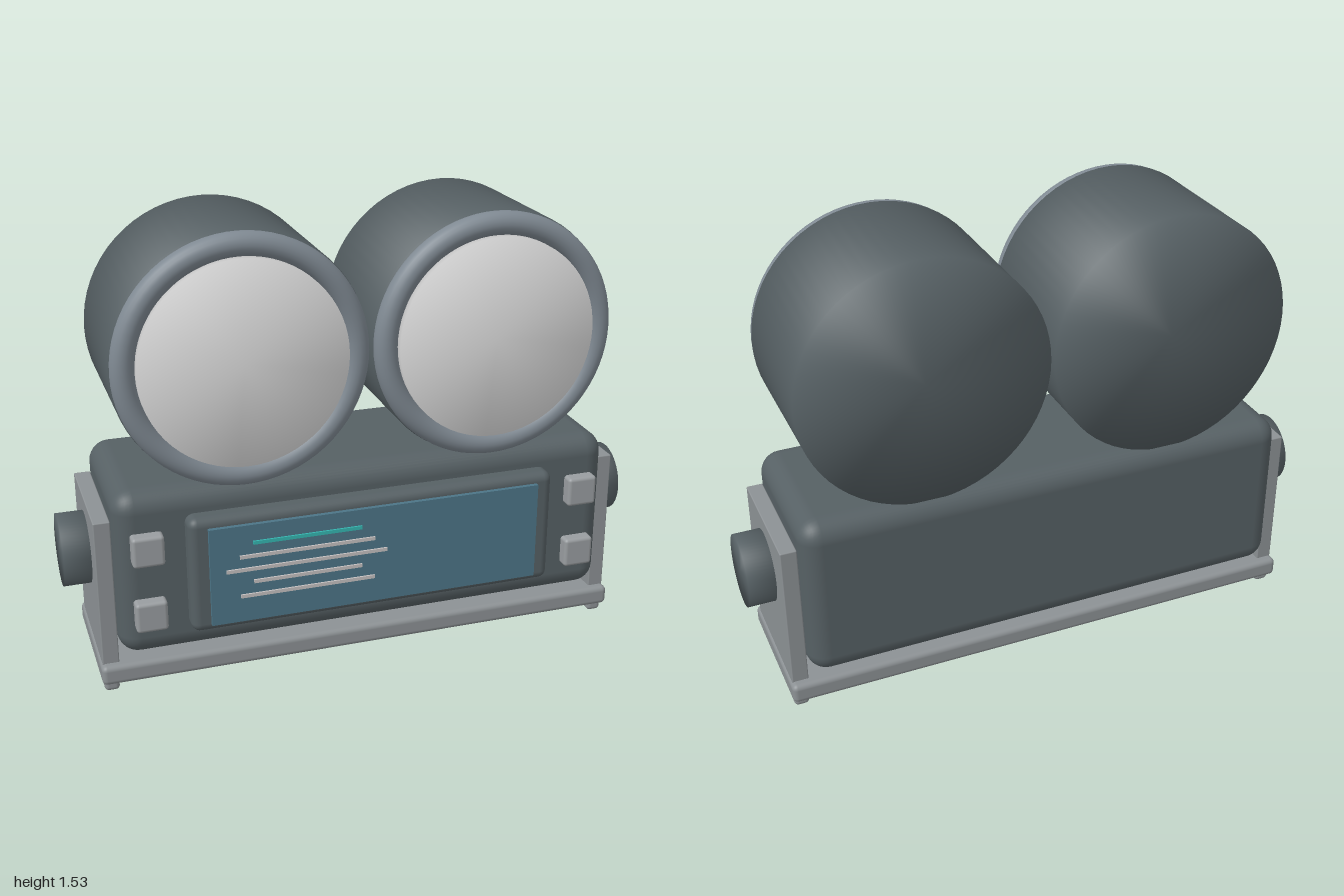
import * as THREE from 'three';
import { mergeVertices } from 'three/addons/utils/BufferGeometryUtils.js';
import { RoundedBoxGeometry } from 'three/addons/geometries/RoundedBoxGeometry.js';

function material(name, color) {
  const m = new THREE.MeshStandardMaterial({ color });
  m.name = name;
  return m;
}

// Cylinder whose side and caps share soft normals
function softCylinder(radius, length) {
  const g = new THREE.CylinderGeometry(radius, radius, length, 64);
  g.deleteAttribute('normal');
  g.deleteAttribute('uv');
  const merged = mergeVertices(g, 1e-4);
  merged.computeVertexNormals();
  return merged;
}

export function createModel() {
  const group = new THREE.Group();
  const dark = material('dark casing', 0x566064);
  const metal = material('bracket grey', 0x8c9194);
  const trim = material('ring steel', 0x7f8992);
  const button = material('button grey', 0x999da0);
  const lensWhite = material('lens white', 0xdedede);
  const screenBlue = material('screen blue', 0x4c7587);
  const teal = material('teal line', 0x35b5b0);
  const pale = material('pale line', 0xc4c0c0);

  function add(name, geometry, mat, x, y, z) {
    const mesh = new THREE.Mesh(geometry, mat);
    mesh.name = name;
    mesh.position.set(x, y, z);
    group.add(mesh);
    return mesh;
  }

  // Block given by its extents, rounded when r > 0
  function block(name, mat, [x0, x1], [y0, y1], [z0, z1], r = 0) {
    const size = [x1 - x0, y1 - y0, z1 - z0];
    const g = r ? new RoundedBoxGeometry(...size, 4, r) : new THREE.BoxGeometry(...size);
    return add(name, g, mat, (x0 + x1) / 2, (y0 + y1) / 2, (z0 + z1) / 2);
  }

  // Casing and display
  block('body', dark, [-0.855, 0.855], [0.143, 0.72], [-0.312, 0.238], 0.07);
  block('bezel', dark, [-0.628, 0.628], [0.232, 0.635], [0.2, 0.298], 0.03);
  block('screen', screenBlue, [-0.567, 0.567], [0.262, 0.603], [0.25, 0.313]);

  // Text-like bars on the display: y, left end, right end
  const bars = [
    [0.541, -0.425, -0.06], [0.495, -0.47, -0.015], [0.449, -0.515, 0.028],
    [0.403, -0.425, -0.06], [0.355, -0.47, -0.015],
  ];
  bars.forEach(([y, x0, x1], i) =>
    block('displayLine', i ? pale : teal, [x0, x1], [y - 0.006, y + 0.006], [0.311, 0.319]));

  // Base tray
  block('baseBar', metal, [-0.917, 0.917], [0.036, 0.105], [-0.282, 0.207], 0.018);

  for (const s of [-1, 1]) {
    // Lamp drum, rim ring and lens
    const drum = add('drum', softCylinder(0.415, 0.484), dark, s * 0.421, 1.12, -0.037);
    drum.rotation.x = Math.PI / 2;
    add('rimRing', new THREE.TorusGeometry(0.373, 0.039, 20, 72), trim, s * 0.421, 1.12, 0.222);
    const lens = add('lens', softCylinder(0.337, 0.1), lensWhite, s * 0.421, 1.12, 0.212);
    lens.rotation.x = Math.PI / 2;

    // Buttons beside the display
    for (const y of [0.537, 0.305]) {
      add('button', new RoundedBoxGeometry(0.104, 0.104, 0.07, 3, 0.012), button, s * 0.753, y, 0.244);
    }

    // Side bracket with its foot and knob
    const span = (a, b) => (s > 0 ? [a, b] : [-b, -a]);
    block('sideBracket', metal, span(0.855, 0.91), [0.06, 0.614], [-0.25, 0.177], 0.004);
    block('foot', metal, span(0.858, 0.908), [0, 0.07], [-0.252, 0.18], 0.014);
    const knob = add('knob', softCylinder(0.122, 0.12), dark, s * 0.94, 0.437, -0.036);
    knob.rotation.z = Math.PI / 2;
  }
  return group;
}
